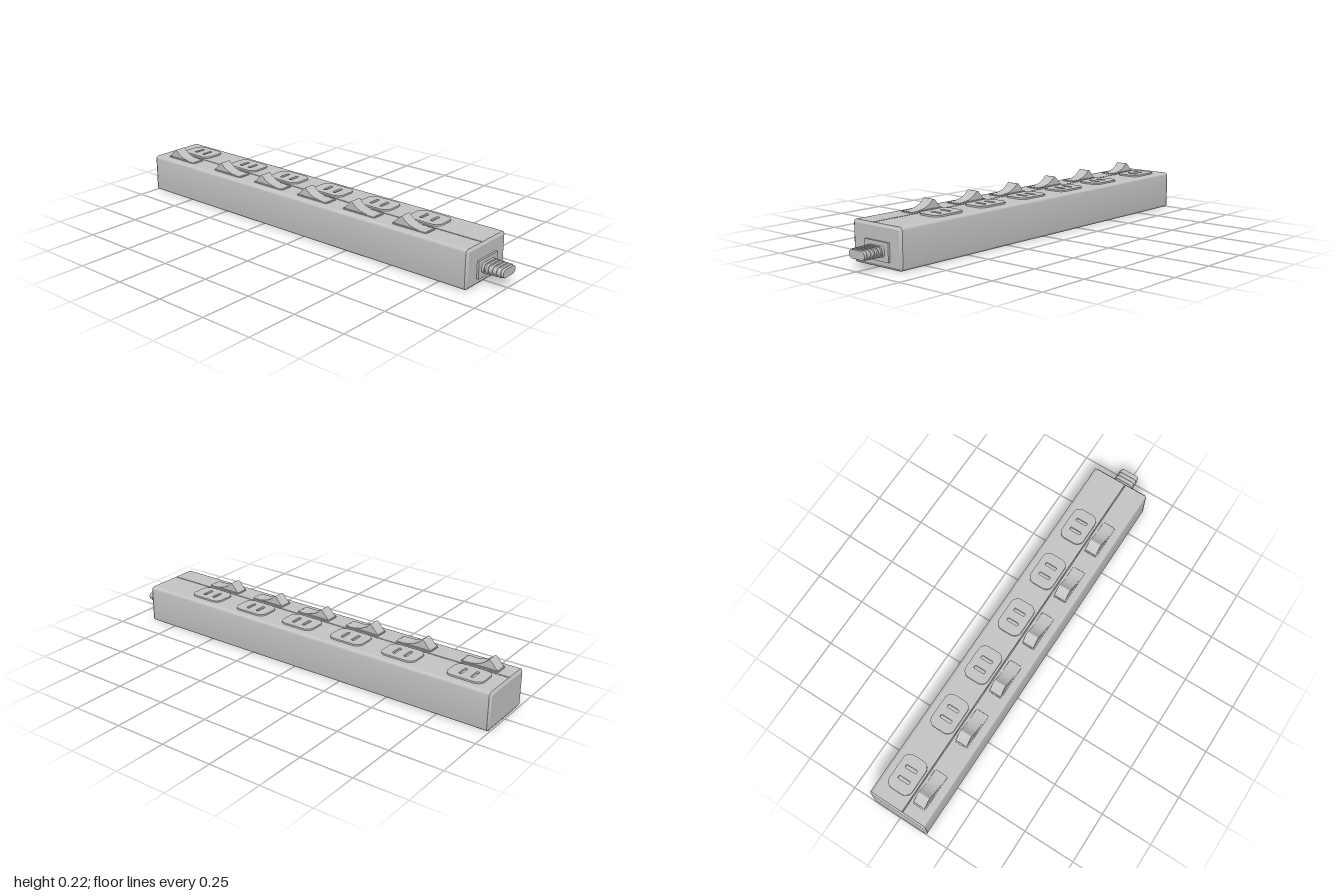
import * as THREE from 'three';
import { toCreasedNormals } from 'three/addons/utils/BufferGeometryUtils.js';

// Rounded rectangle outline centred on (cx, cy)
function roundedRect(w, h, r, cx = 0, cy = 0, Type = THREE.Shape) {
  const s = new Type(), x = w / 2 - r, y = h / 2 - r;
  s.absarc(cx + x, cy + y, r, 0, Math.PI / 2, false);
  s.absarc(cx - x, cy + y, r, Math.PI / 2, Math.PI, false);
  s.absarc(cx - x, cy - y, r, Math.PI, Math.PI * 1.5, false);
  s.absarc(cx + x, cy - y, r, Math.PI * 1.5, Math.PI * 2, false);
  s.closePath();
  return s;
}

function extrude(shape, depth, bevel = 0, thickness = bevel) {
  const g = new THREE.ExtrudeGeometry(shape, {
    depth, curveSegments: 8, bevelEnabled: bevel > 0,
    bevelSize: bevel, bevelThickness: thickness, bevelSegments: 1,
  });
  return toCreasedNormals(g, 0.5);
}

// Shape (x, -z) raised along +y
const raised = (shape, h) => extrude(shape, h).rotateX(-Math.PI / 2);
// Shape (-z, y) run along +x
const along = (shape, d, b, t) => extrude(shape, d, b, t).rotateY(Math.PI / 2);

export function createModel() {
  const model = new THREE.Group();
  model.name = 'powerStrip';
  const grey = new THREE.MeshStandardMaterial({ color: 0xc1c3c2 });
  grey.name = 'light grey plastic';

  function add(parent, name, geometry, x = 0, y = 0, z = 0) {
    const mesh = new THREE.Mesh(geometry, grey);
    mesh.name = name;
    mesh.position.set(x, y, z);
    parent.add(mesh);
    return mesh;
  }

  // Long housing with rounded edges and a seam groove along the top
  const W = 0.143, H = 0.18, R = 0.014;
  const section = new THREE.Shape();
  section.absarc(W - R, H - R, R, 0, Math.PI / 2, false);
  section.lineTo(-0.025, H);
  section.lineTo(-0.025, 0.168);
  section.lineTo(-0.03, 0.168);
  section.lineTo(-0.03, H);
  section.absarc(-W + R, H - R, R, Math.PI / 2, Math.PI, false);
  section.absarc(-W + R, R, R, Math.PI, Math.PI * 1.5, false);
  section.absarc(W - R, R, R, Math.PI * 1.5, Math.PI * 2, false);
  section.closePath();
  add(model, 'housing', along(section, 1.874), -0.992);

  // Chamfered caps closing both ends
  const capShape = roundedRect(0.266, 0.156, 0.004, 0, 0.09);
  for (const [name, x] of [['leftEndCap', 0.882], ['rightEndCap', -0.992]]) {
    add(model, name, along(capShape, 0.0005, 0.0115, 0.0078), x);
  }

  // Cord entry: square boss and ribbed flat strain relief
  add(model, 'cordBoss', along(roundedRect(0.145, 0.082, 0.003, 0.005, 0.07), 0.012), 0.887);
  const relief = new THREE.Group();
  relief.name = 'strainRelief';
  model.add(relief);
  add(relief, 'cordCore', along(roundedRect(0.094, 0.037, 0.018, 0.005, 0.07), 0.11), 0.89);
  for (let i = 0; i < 5; i++) {
    const shrink = i * 0.0008;
    const rib = roundedRect(0.104 - shrink, 0.046 - shrink, 0.021, 0.005, 0.07);
    add(relief, 'cordRib', along(rib, 0.011), 0.899 + i * 0.0195);
  }

  // Socket face with two blade slots
  const plate = roundedRect(0.172, 0.12, 0.035);
  for (const x of [-0.028, 0.028]) {
    plate.holes.push(roundedRect(0.015, 0.058, 0.006, x, 0, THREE.Path));
  }
  const plateGeometry = raised(plate, 0.008);

  // Switch surround, open in the middle
  const surround = roundedRect(0.18, 0.068, 0.008);
  surround.holes.push(roundedRect(0.17, 0.058, 0.003, 0, 0, THREE.Path));
  const surroundGeometry = raised(surround, 0.005);

  // Rocker tilted up at one end with a concave press face
  const profile = new THREE.Shape();
  profile.moveTo(-0.084, -0.004);
  profile.lineTo(0.084, -0.004);
  profile.lineTo(0.084, 0.005);
  profile.quadraticCurveTo(0.0, -0.001, -0.038, 0.041);
  profile.quadraticCurveTo(-0.043, 0.046, -0.05, 0.041);
  profile.lineTo(-0.084, 0.004);
  profile.closePath();
  const rockerGeometry = extrude(profile, 0.057);

  // Six stations, the first set apart from the rest
  for (const x of [-0.845, -0.52, -0.248, 0.025, 0.297, 0.57]) {
    const station = new THREE.Group();
    station.name = 'outletStation';
    station.position.set(x, H, 0);
    model.add(station);
    add(station, 'socketFace', plateGeometry, 0, -0.0005, -0.045);
    add(station, 'switchSurround', surroundGeometry, 0, -0.0005, 0.0725);
    add(station, 'rockerSwitch', rockerGeometry, 0, 0, 0.0445);
  }
  return model;
}
